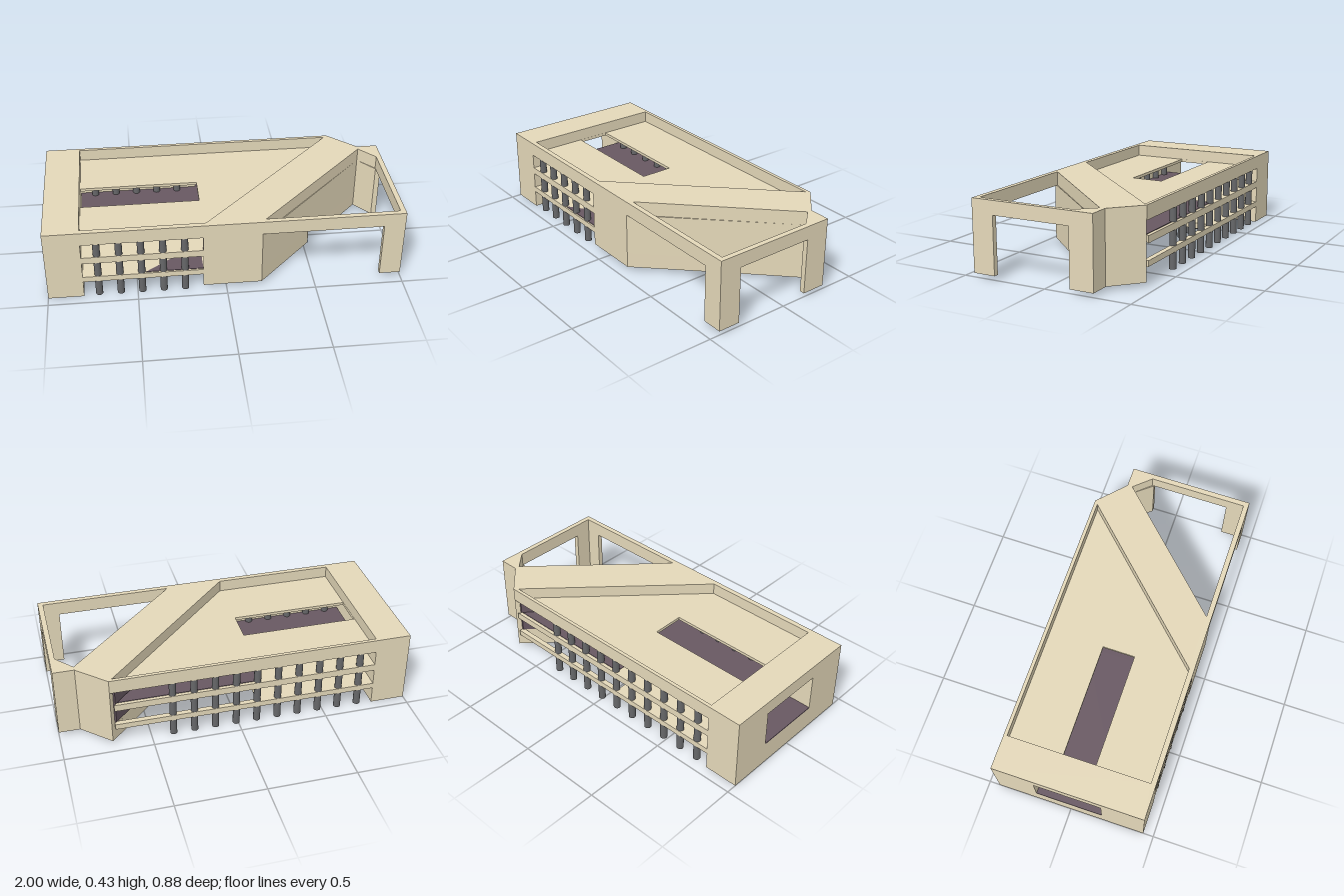
import * as THREE from 'three';

const mat = (color) => new THREE.MeshStandardMaterial({ color, roughness: 0.9 });

export function createModel() {
  const model = new THREE.Group();
  const stone = mat(0xe4d8b9), floorMat = mat(0x685862), steel = mat(0x666769), black = mat(0x080808);

  const add = (name, geometry, material = stone) => {
    const mesh = new THREE.Mesh(geometry, material);
    mesh.name = name;
    model.add(mesh);
    return mesh;
  };
  const box = (name, x0, x1, y0, y1, z0, z1, material) =>
    add(name, new THREE.BoxGeometry(x1 - x0, y1 - y0, z1 - z0), material)
      .position.set((x0 + x1) / 2, (y0 + y1) / 2, (z0 + z1) / 2);
  const rect = (x0, x1, z0, z1) => [[x0, z0], [x1, z0], [x1, z1], [x0, z1]];

  // Corner points, always counter-clockwise so that hole walls face the right way
  const points = (list) => {
    const p = list.map(([a, b]) => new THREE.Vector2(a, -b));
    return THREE.ShapeUtils.isClockWise(p) ? p.reverse() : p;
  };
  const extrude = (outline, depth, holes = []) => {
    const shape = new THREE.Shape(points(outline));
    holes.forEach((h) => shape.holes.push(new THREE.Path(points(h).reverse())));
    return new THREE.ExtrudeGeometry(shape, { depth, bevelEnabled: false });
  };
  // Extrude an x-z plan upwards from y0 to y1
  const plan = (name, outline, y0, y1, material, holes) =>
    add(name, extrude(outline, y1 - y0, holes).rotateX(-Math.PI / 2).translate(0, y0, 0), material);

  // Roof rim, sunken roof and open corner court
  const recess = [[-0.8, -0.42], [0.7, -0.42], [-0.11, 0.41], [-0.8, 0.41]];
  const court = [[0.22, 0.41], [0.88, -0.26], [0.97, -0.16], [0.97, 0.41]];
  plan('roofRim', [[-1, -0.44], [0.72, -0.44], [0.88, -0.29], [1, -0.29], [1, 0.44], [-1, 0.44]],
    0.35, 0.43, stone, [recess, court]);
  plan('sunkenRoof', recess, 0.345, 0.362, stone, [rect(-0.799, -0.12, -0.1, 0.09)]);

  // Solid end block with a window tunnel along x
  add('endBlock', extrude([[-0.44, 0], [0.44, 0], [0.44, -0.35], [-0.44, -0.35]], 0.2,
    [[[-0.19, -0.13], [0.2, -0.13], [0.2, -0.349], [-0.19, -0.349]]])
    .rotateY(Math.PI / 2).translate(-1, 0, 0));

  // Diagonal wing, split at the foot by a dark-lined passage
  const inA = [0.356, -0.064], outA = [0.522, 0.106], outB = [0.631, -0.007], inB = [0.464, -0.176];
  const wingFront = [[-0.13, 0.44], [0.2, 0.44]];
  const wingRear = [[0.88, -0.26], [0.88, -0.29], [0.72, -0.44], [0.7, -0.42]];
  plan('wing', [...wingFront, ...wingRear], 0.112, 0.35);
  plan('wingFootFront', [...wingFront, outA, inA], 0.022, 0.112);
  plan('wingFootRear', [outB, ...wingRear, inB], 0.022, 0.112);
  const shift = ([x, z], d) => [x + d, z - d];
  plan('passageSideFront', [inA, outA, shift(outA, 0.003), shift(inA, 0.003)], 0.022, 0.112, black);
  plan('passageSideRear', [inB, outB, shift(outB, -0.003), shift(inB, -0.003)], 0.022, 0.112, black);
  plan('passageCeiling', [inA, outA, outB, inB], 0.108, 0.112, black);
  plan('wingLining', [[-0.13, 0.43], [0.69, -0.42], [0.7, -0.42], [-0.13, 0.44]], 0.135, 0.345, floorMat);

  // Corner frame posts
  plan('cornerPost', [[0.88, 0.44], [1, 0.44], [1, 0.31], [0.97, 0.31], [0.97, 0.41], [0.88, 0.41]],
    0.022, 0.35);
  plan('rearPost', [[0.88, -0.29], [1, -0.29], [1, -0.15], [0.97, -0.15], [0.88, -0.26]], 0.022, 0.35);

  // Floors: stone slabs with patches of dark finish
  box('lowerFloor', -0.8, -0.12, 0.1, 0.133, -0.44, 0.44);
  box('tunnelFinish', -1, -0.12, 0.13, 0.136, -0.2, 0.19, floorMat);
  plan('lowerFinish', [[-0.45, 0.43], [-0.13, 0.43], [-0.13, 0.2]], 0.133, 0.136, floorMat);
  box('rearLowerBand', -0.12, 0.7, 0.1, 0.133, -0.44, -0.41);
  plan('upperFloor', [[-0.8, -0.44], [0.7, -0.44], [-0.13, 0.44], [-0.8, 0.44]], 0.225, 0.265);
  box('hallFinish', -0.8, -0.12, 0.265, 0.268, -0.2, 0.19, floorMat);
  plan('upperFinish', [[-0.12, -0.42], [0.68, -0.42], [-0.12, 0.42]], 0.265, 0.268, floorMat);

  // Hall side walls
  box('hallWallRear', -0.8, -0.12, 0.133, 0.347, -0.215, -0.2);
  box('hallWallFront', -0.8, -0.12, 0.133, 0.347, 0.19, 0.205);

  // Column rows
  for (const [z, count] of [[0.42, 5], [0.18, 5], [-0.18, 5], [-0.42, 10]]) {
    for (let i = 0; i < count; i++) {
      const c = add('column', new THREE.CylinderGeometry(0.02, 0.02, 0.354, 16), steel);
      c.position.set(-0.715 + 0.121 * i, 0.177, z);
    }
  }
  return model;
}
